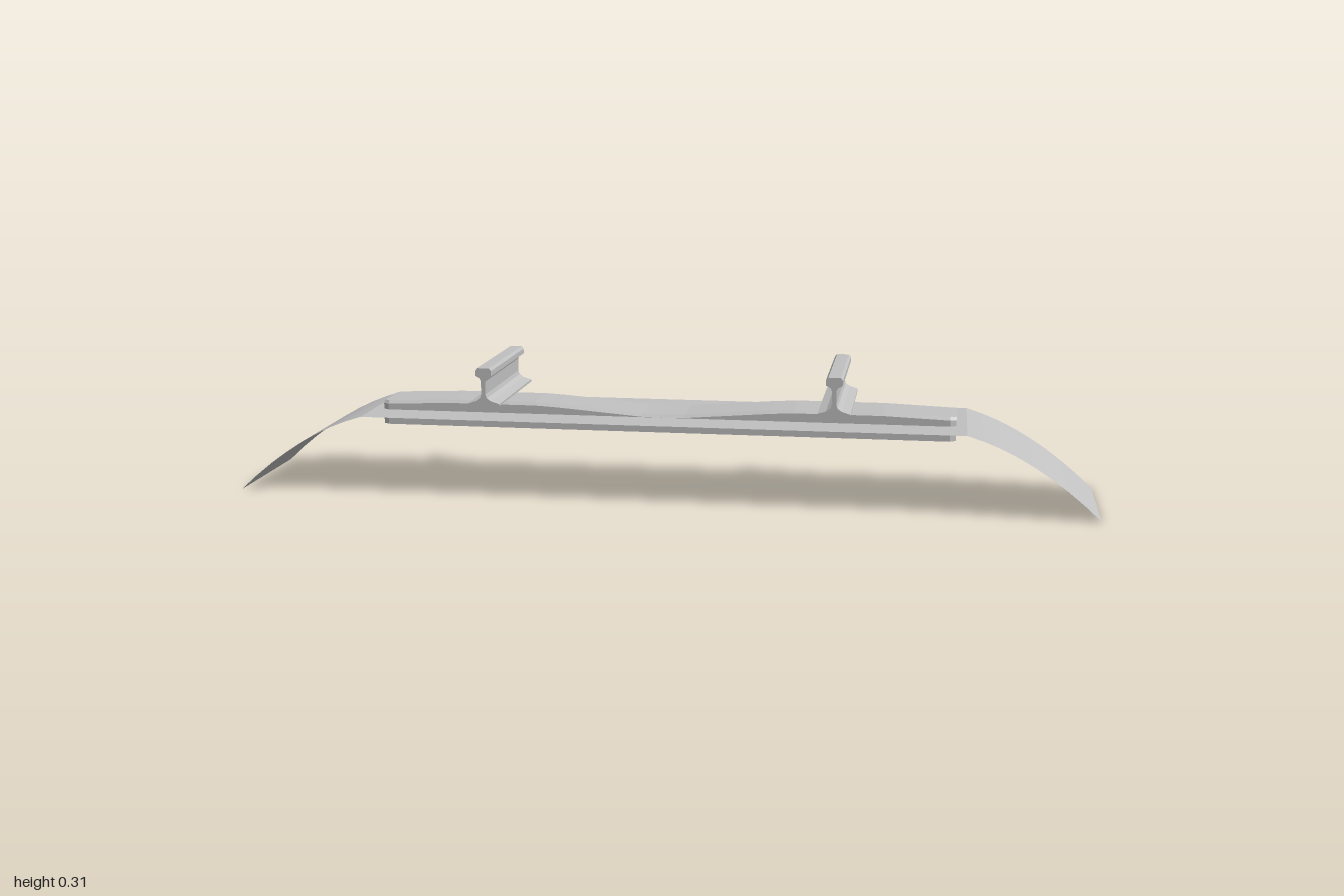
import * as THREE from 'three';

const HALF_DEPTH = 0.1625;

// Skin a list of equal-length cross-sections; optionally cap both ends with a fan
function loft(sections, capped) {
  const n = sections[0].length, index = [];
  for (let i = 0; i < sections.length - 1; i++) {
    for (let j = 0; j < n - 1; j++) {
      const a = i * n + j, b = a + n;
      index.push(a, a + 1, b, b, a + 1, b + 1);
    }
  }
  if (capped) {
    const last = (sections.length - 1) * n;
    for (let j = 1; j < n - 1; j++) {
      index.push(0, j + 1, j, last, last + j, last + j + 1);
    }
  }
  const geometry = new THREE.BufferGeometry();
  geometry.setAttribute('position', new THREE.Float32BufferAttribute(sections.flat(2), 3));
  geometry.setIndex(index);
  const flat = geometry.toNonIndexed();
  flat.computeVertexNormals();
  return flat;
}

// Mirror a list of [x, ...] stations given from the centre outwards
function mirrored(stations) {
  const left = stations.filter(s => s[0] > 0).reverse().map(([x, ...rest]) => [-x, ...rest]);
  return [...left, ...stations];
}

// Thin bed: flat top with shoulders that curve down to the ground
function ballastGeometry() {
  const stations = [[0, 0.185]];
  for (let i = 0; i <= 8; i++) {
    const t = i / 8;
    stations.push([0.7 + 0.3 * t, 0.185 * (1 - 0.45 * t - 0.55 * t * t)]);
  }
  return loft(mirrored(stations).map(([x, y]) => [[x, y, HALF_DEPTH], [x, y, -HALF_DEPTH]]), false);
}

// Sleeper shell, open underneath: x, top height, half width
function sleeperGeometry() {
  const stations = [
    [0, 0.192, 0.065], [0.05, 0.193, 0.065], [0.15, 0.201, 0.065], [0.25, 0.209, 0.065],
    [0.305, 0.212, 0.065], [0.51, 0.212, 0.065], [0.662, 0.206, 0.065], [0.676, 0.205, 0.055],
  ];
  return loft(mirrored(stations).map(([x, top, w]) => [
    [x, 0.15, w], [x, top - 0.007, w], [x, top, w - 0.008],
    [x, top, 0.008 - w], [x, top - 0.007, -w], [x, 0.15, -w],
  ]), true);
}

// Rail: foot, narrow web and rounded head
function railGeometry() {
  const half = [
    [0.037, 0.220], [0.037, 0.225], [0.018, 0.231], [0.008, 0.238], [0.005, 0.247],
    [0.005, 0.277], [0.008, 0.284], [0.019, 0.290], [0.019, 0.302], [0.014, 0.308],
  ];
  const outline = [...half, ...half.slice().reverse().map(([x, y]) => [-x, y])];
  const shape = new THREE.Shape(outline.map(([x, y]) => new THREE.Vector2(x, y)));
  return new THREE.ExtrudeGeometry(shape, { depth: 2 * HALF_DEPTH, bevelEnabled: false })
    .translate(0, 0, -HALF_DEPTH);
}

export function createModel() {
  const grey = new THREE.MeshStandardMaterial({ color: 0xc0c0c0 });
  grey.name = 'light grey';
  grey.flatShading = true;
  grey.side = THREE.DoubleSide;

  const model = new THREE.Group();
  model.name = 'trackSection';
  const add = (name, geometry, x = 0) => {
    const mesh = new THREE.Mesh(geometry, grey);
    mesh.name = name;
    mesh.position.x = x;
    model.add(mesh);
  };

  add('ballast', ballastGeometry());
  add('sleeper', sleeperGeometry());
  const rail = railGeometry();
  add('leftRail', rail, 0.403);
  add('rightRail', rail, -0.403);
  return model;
}
